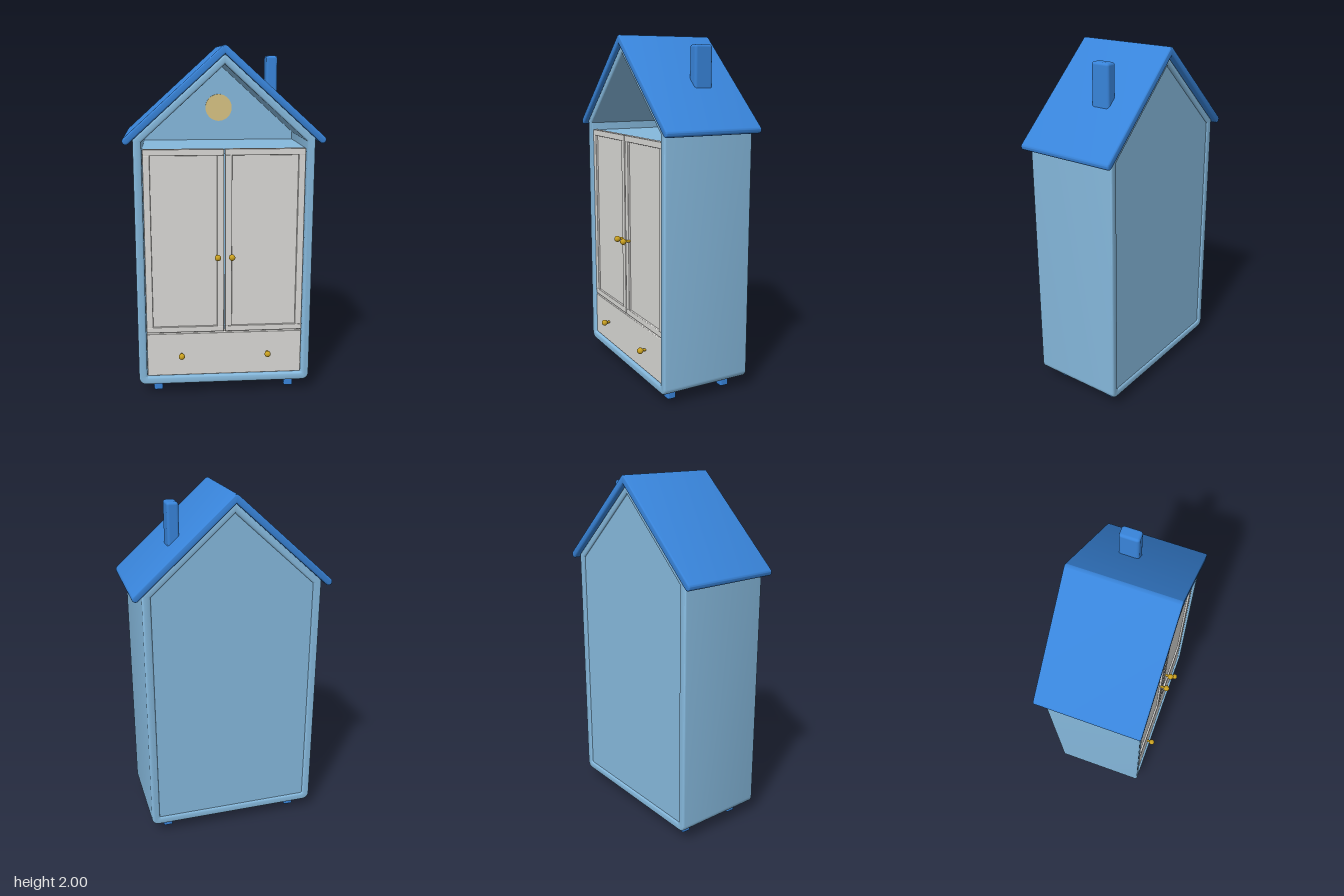
import * as THREE from 'three';
import { toCreasedNormals } from 'three/addons/utils/BufferGeometryUtils.js';
import { RoundedBoxGeometry } from 'three/addons/geometries/RoundedBoxGeometry.js';

const material = (name, color) => {
  const m = new THREE.MeshStandardMaterial({ color });
  m.name = name;
  return m;
};

export function createModel() {
  const paleBlue = material('pale blue', 0x85b8dc);
  const blue = material('strong blue', 0x3884da);
  const white = material('off white', 0xd9d8d5);
  const gold = material('gold', 0xc9a021);
  const sand = material('sand', 0xd6c283);

  const model = new THREE.Group();
  model.name = 'houseWardrobe';

  const add = (name, geometry, mat, x = 0, y = 0, z = 0, parent = model) => {
    const mesh = new THREE.Mesh(geometry, mat);
    mesh.name = name;
    mesh.position.set(x, y, z);
    parent.add(mesh);
    return mesh;
  };

  // Box given by its minimum and maximum corners, with softened edges
  const block = (name, mat, [x0, y0, z0], [x1, y1, z1], radius, parent) =>
    add(name, new RoundedBoxGeometry(x1 - x0, y1 - y0, z1 - z0, 2, radius), mat,
      (x0 + x1) / 2, (y0 + y1) / 2, (z0 + z1) / 2, parent);

  // Front-facing profile extruded from z0 to z1 with rounded edges
  const extrude = (shape, z0, z1, bevel) => {
    const g = new THREE.ExtrudeGeometry(shape, {
      depth: z1 - z0 - 2 * bevel, curveSegments: 8, bevelEnabled: bevel > 0,
      bevelThickness: bevel, bevelSize: bevel, bevelOffset: -bevel, bevelSegments: 3,
    });
    g.translate(0, 0, z0 + bevel);
    return toCreasedNormals(g, 0.6);
  };

  // Gabled outline with rounded bottom corners
  const house = (Outline, w, bottom, eave, apex, r) => {
    const s = new Outline();
    s.moveTo(-w + r, bottom);
    s.lineTo(w - r, bottom);
    s.absarc(w - r, bottom + r, r, -Math.PI / 2, 0, false);
    s.lineTo(w, eave);
    s.lineTo(0, apex);
    s.lineTo(-w, eave);
    s.lineTo(-w, bottom + r);
    s.absarc(-w + r, bottom + r, r, Math.PI, Math.PI * 1.5, false);
    return s;
  };

  // Cabinet shell, back wall and attic floor
  const shell = house(THREE.Shape, 0.5, 0.07, 1.503, 1.953, 0.04);
  shell.holes.push(house(THREE.Path, 0.453, 0.117, 1.49, 1.9, 0.008));
  add('shell', extrude(shell, -0.275, 0.265, 0.012), paleBlue);
  add('backWall', extrude(house(THREE.Shape, 0.456, 0.114, 1.492, 1.904, 0.01), -0.265, -0.225, 0), paleBlue);
  add('atticFloor', new THREE.BoxGeometry(0.91, 0.025, 0.46), paleBlue, 0, 1.433, 0.005);

  // Round window on the attic wall
  const disc = new THREE.CylinderGeometry(0.08, 0.08, 0.008, 40);
  disc.rotateX(Math.PI / 2);
  add('roundWindow', disc, sand, 0, 1.64, -0.221);

  // Folded roof with rounded eaves and ridge
  const slope = Math.atan(0.9), up = Math.PI / 2 - slope, t = 0.02;
  const ridgeY = 1.98, eaveX = 0.535, eaveY = ridgeY - 0.9 * eaveX;
  const roof = new THREE.Shape();
  roof.absarc(eaveX, eaveY, t, up, up - Math.PI, true);
  roof.lineTo(0, ridgeY - t / Math.cos(slope));
  roof.absarc(-eaveX, eaveY, t, -up, -up - Math.PI, true);
  roof.absarc(0, ridgeY, t, Math.PI - up, up, true);
  add('roof', extrude(roof, -0.297, 0.284, 0.008), blue);

  // Chimney
  block('chimney', blue, [0.26, 1.69, -0.127], [0.325, 1.945, -0.018], 0.015);

  // Knob with a short stem, pointing forward
  const knob = (name, x, y) => {
    const g = new THREE.Group();
    g.name = name;
    model.add(g);
    const stem = new THREE.CylinderGeometry(0.008, 0.008, 0.04, 12);
    stem.rotateX(Math.PI / 2);
    add('knobStem', stem, gold, x, y, 0.262, g);
    add('knobBall', new THREE.SphereGeometry(0.018, 20, 14), gold, x, y, 0.285, g);
  };

  for (const side of [-1, 1]) {
    const label = side > 0 ? 'left' : 'right';

    // Framed door
    const door = new THREE.Group();
    door.name = label + 'Door';
    model.add(door);
    const part = (name, a, b, y0, y1, z0, z1, r) =>
      block(name, white, [Math.min(a * side, b * side), y0, z0],
        [Math.max(a * side, b * side), y1, z1], r, door);
    part('doorPanel', 0.03, 0.425, 0.4, 1.43, 0.22, 0.24, 0.001);
    part('outerStile', 0.411, 0.45, 0.417, 1.416, 0.22, 0.252, 0.004);
    part('innerStile', 0.003, 0.042, 0.417, 1.416, 0.22, 0.252, 0.004);
    part('topRail', 0.003, 0.45, 1.413, 1.449, 0.22, 0.252, 0.004);
    part('bottomRail', 0.003, 0.45, 0.386, 0.42, 0.22, 0.252, 0.004);

    knob(label + 'DoorKnob', side * 0.04, 0.84);
    knob(label + 'DrawerKnob', side * 0.25, 0.25);

    // Feet
    for (const z of [0.17, -0.18]) {
      block('foot', blue, [side * 0.39 - 0.027, 0, z - 0.027], [side * 0.39 + 0.027, 0.085, z + 0.027], 0.01);
    }
  }

  // Drawer front
  block('drawer', white, [-0.45, 0.12, 0.2], [0.45, 0.379, 0.252], 0.004);

  return model;
}
